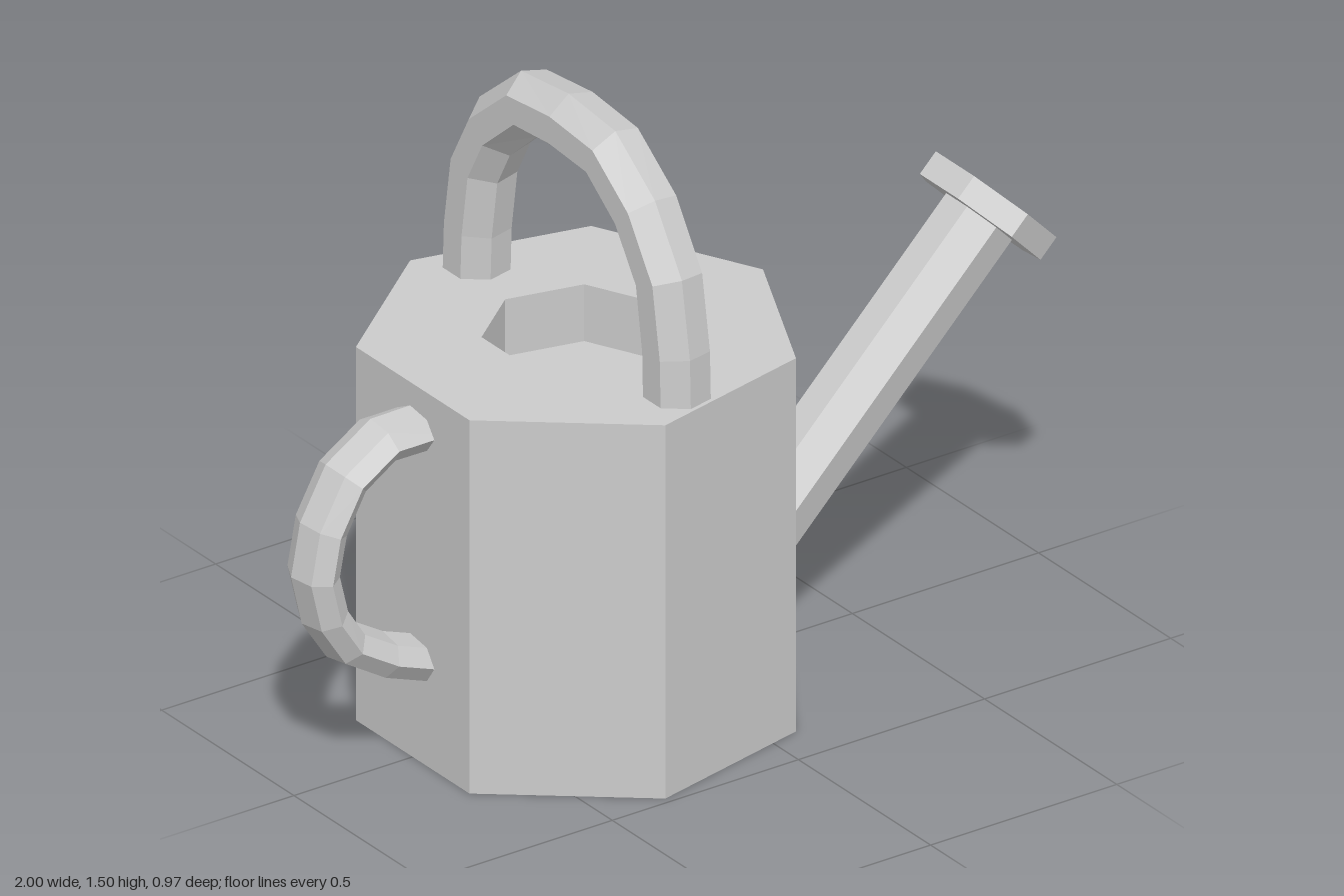
import * as THREE from 'three';

const SIDES = 7;
const material = new THREE.MeshStandardMaterial({
  color: 0xcccccc, flatShading: true, side: THREE.DoubleSide,
});

function addPart(group, name, geometry) {
  const flat = geometry.index ? geometry.toNonIndexed() : geometry;
  flat.computeVertexNormals();
  const mesh = new THREE.Mesh(flat, material);
  mesh.name = name;
  group.add(mesh);
  return mesh;
}

// Seven-sided bar swept along a path in the xy plane, one corner towards +z
function bentBar(path, depthRadius, planeRadius) {
  const points = path.map(([x, y]) => new THREE.Vector2(x, y));
  const positions = [];
  const index = [];
  points.forEach((p, i) => {
    const before = points[Math.max(i - 1, 0)];
    const after = points[Math.min(i + 1, points.length - 1)];
    const t = after.clone().sub(before).normalize();
    for (let j = 0; j < SIDES; j++) {
      const angle = (j / SIDES) * Math.PI * 2;
      const s = planeRadius * Math.sin(angle);
      positions.push(p.x + t.y * s, p.y - t.x * s, depthRadius * Math.cos(angle));
      if (i === 0) continue;
      const k = (j + 1) % SIDES;
      const lower = (i - 1) * SIDES;
      const upper = i * SIDES;
      index.push(lower + j, lower + k, upper + k, lower + j, upper + k, upper + j);
    }
  });
  const geometry = new THREE.BufferGeometry();
  geometry.setAttribute('position', new THREE.Float32BufferAttribute(positions, 3));
  geometry.setIndex(index);
  return geometry;
}

// Seven-sided prism tilted 45 degrees towards +x, one corner facing down
function tiltedPrism(radius, start, end) {
  const length = Math.hypot(end[0] - start[0], end[1] - start[1]);
  return new THREE.CylinderGeometry(radius, radius, length, SIDES, 1, false, Math.PI / 2)
    .rotateZ(-Math.PI / 4)
    .translate((start[0] + end[0]) / 2, (start[1] + end[1]) / 2, 0);
}

export function createModel() {
  const group = new THREE.Group();
  group.name = 'wateringCan';

  // Body with the recessed filling hole
  const profile = [[0, 0], [0.495, 0], [0.495, 0.92], [0.216, 0.92], [0.216, 0.78], [0, 0.78]]
    .map(([x, y]) => new THREE.Vector2(x, y));
  const body = new THREE.LatheGeometry(profile, SIDES).rotateY(Math.PI / 2);
  addPart(group, 'body', body).position.x = -0.235;

  // Carrying handle arching over the top
  const arch = bentBar([
    [-0.378, 0.88], [-0.374, 1.03], [-0.348, 1.195], [-0.262, 1.325], [-0.14, 1.415],
    [0.01, 1.428], [0.16, 1.415], [0.29, 1.305], [0.352, 1.19], [0.376, 1.03], [0.382, 0.88],
  ], 0.076, 0.077).rotateY(Math.PI / 2);
  addPart(group, 'topHandle', arch).position.x = -0.238;

  // Pouring handle at the back of the body
  const loop = bentBar([
    [-0.64, 0.815], [-0.775, 0.815], [-0.873, 0.752], [-0.932, 0.645], [-0.953, 0.535],
    [-0.928, 0.43], [-0.873, 0.345], [-0.775, 0.285], [-0.64, 0.235],
  ], 0.075, 0.049);
  addPart(group, 'sideHandle', loop).position.z = 0.007;

  // Spout and its sprinkler head
  addPart(group, 'spout', tiltedPrism(0.091, [0.15, 0.19], [0.85, 0.89]));
  addPart(group, 'sprinklerHead', tiltedPrism(0.167, [0.839, 0.877], [0.882, 0.92]));

  return group;
}
